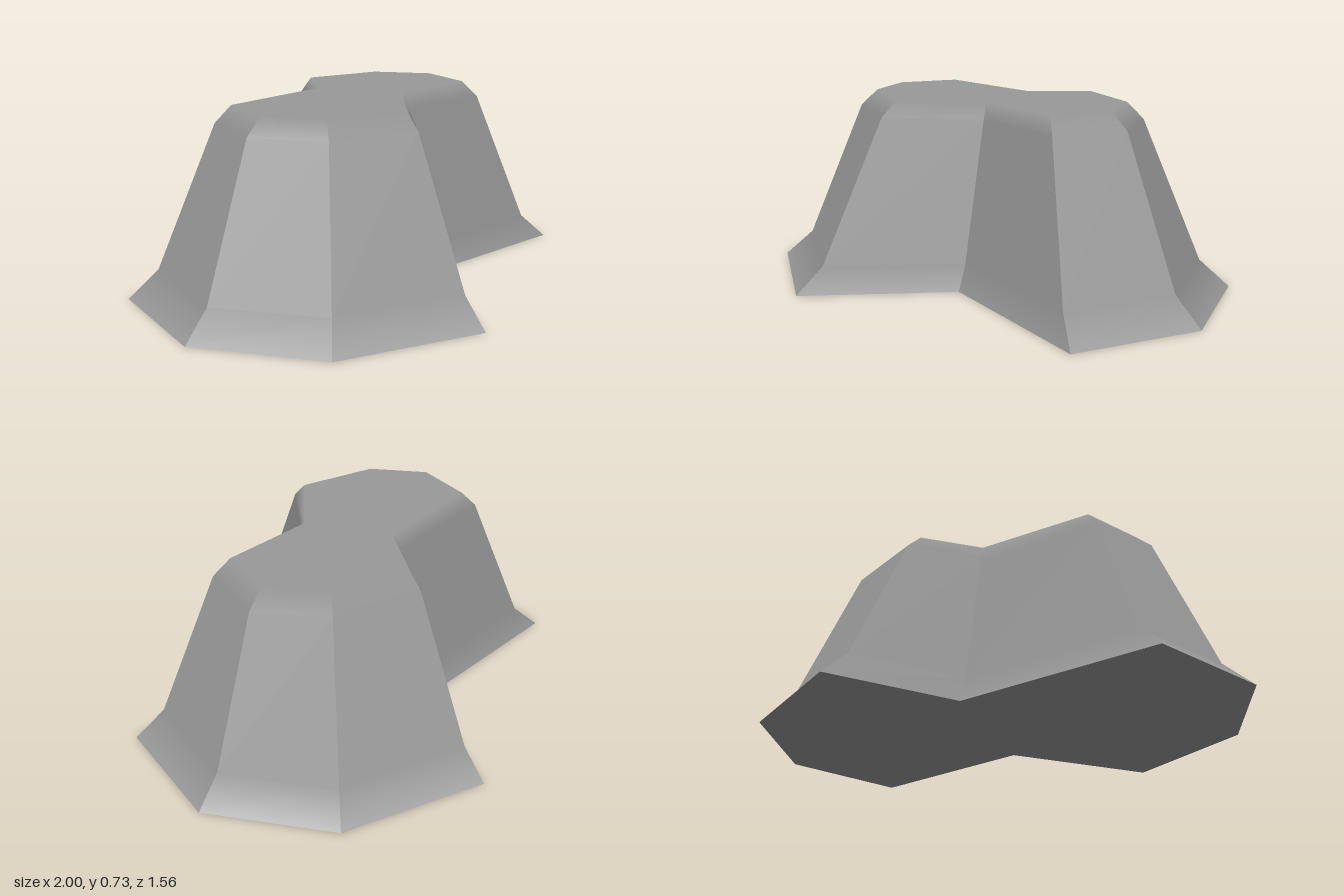
import * as THREE from 'three';

// Cross-sections of the boulder, counter-clockwise seen from above: [x, z] pairs
const rings = [
  { y: 0, pts: [[-1, 0], [-0.81, 0.48], [-0.31, 0.78], [0.1, 0.31], [0.81, 0.48], [1, 0], [0.81, -0.48], [0.31, -0.78], [0.01, -0.33], [-0.81, -0.48]] },
  { y: 0.105, pts: [[-0.885, 0], [-0.715, 0.41], [-0.275, 0.675], [0.1, 0.275], [0.715, 0.41], [0.885, 0], [0.715, -0.41], [0.275, -0.675], [0.01, -0.295], [-0.715, -0.41]] },
  { y: 0.66, pts: [[-0.655, 0], [-0.53, 0.265], [-0.205, 0.425], [0.1, 0.172], [0.53, 0.265], [0.655, 0], [0.53, -0.265], [0.205, -0.425], [0, -0.2], [-0.53, -0.265]] },
  { y: 0.725, pts: [[-0.58, 0], [-0.48, 0.22], [-0.187, 0.362], [0.1, 0.157], [0.48, 0.22], [0.58, 0], [0.48, -0.225], [0.187, -0.362], [0, -0.18], [-0.48, -0.225]] },
];

const at = (r, i) => {
  const [x, z] = rings[r].pts[i % rings[r].pts.length];
  return new THREE.Vector3(x, rings[r].y, z);
};

function makeGeometry(triangles) {
  const position = [], normal = [];
  for (const [p, n] of triangles) {
    position.push(p.x, p.y, p.z);
    normal.push(n.x, n.y, n.z);
  }
  const g = new THREE.BufferGeometry();
  g.setAttribute('position', new THREE.Float32BufferAttribute(position, 3));
  g.setAttribute('normal', new THREE.Float32BufferAttribute(normal, 3));
  return g;
}

// Normal of the band face between ring r and r + 1
function faceNormal(r, i) {
  const across = at(r + 1, i + 1).sub(at(r, i));
  const back = at(r + 1, i).sub(at(r, i + 1));
  return across.cross(back).normalize();
}

// Flare, wall and bevel: large walls stay flat, the bevel blends softly into the top
function wallGeometry() {
  const out = [];
  const up = new THREE.Vector3(0, 1, 0);
  for (let i = 0; i < rings[0].pts.length; i++) {
    const wall = faceNormal(1, i);
    const normals = [faceNormal(0, i), wall, wall, up];
    for (let r = 0; r < 3; r++) {
      const a = [at(r, i), normals[r]], b = [at(r, i + 1), normals[r]];
      const c = [at(r + 1, i + 1), normals[r + 1]], d = [at(r + 1, i), normals[r + 1]];
      out.push(a, b, c, a, c, d);
    }
  }
  return makeGeometry(out);
}

// Flat cap filling one ring
function capGeometry(r, facesUp) {
  const contour = rings[r].pts.map(([x, z]) => new THREE.Vector2(x, -z));
  const n = new THREE.Vector3(0, facesUp ? 1 : -1, 0);
  const out = [];
  for (const tri of THREE.ShapeUtils.triangulateShape(contour, [])) {
    const order = facesUp ? tri : [...tri].reverse();
    for (const i of order) out.push([at(r, i), n]);
  }
  return makeGeometry(out);
}

export function createModel() {
  const stone = new THREE.MeshStandardMaterial({ color: 0x999999 });
  stone.name = 'grey stone';

  const model = new THREE.Group();
  model.name = 'boulder';
  const add = (name, geometry) => {
    const mesh = new THREE.Mesh(geometry, stone);
    mesh.name = name;
    model.add(mesh);
  };
  add('rockWalls', wallGeometry());
  add('rockTop', capGeometry(3, true));
  add('rockUnderside', capGeometry(0, false));
  return model;
}
